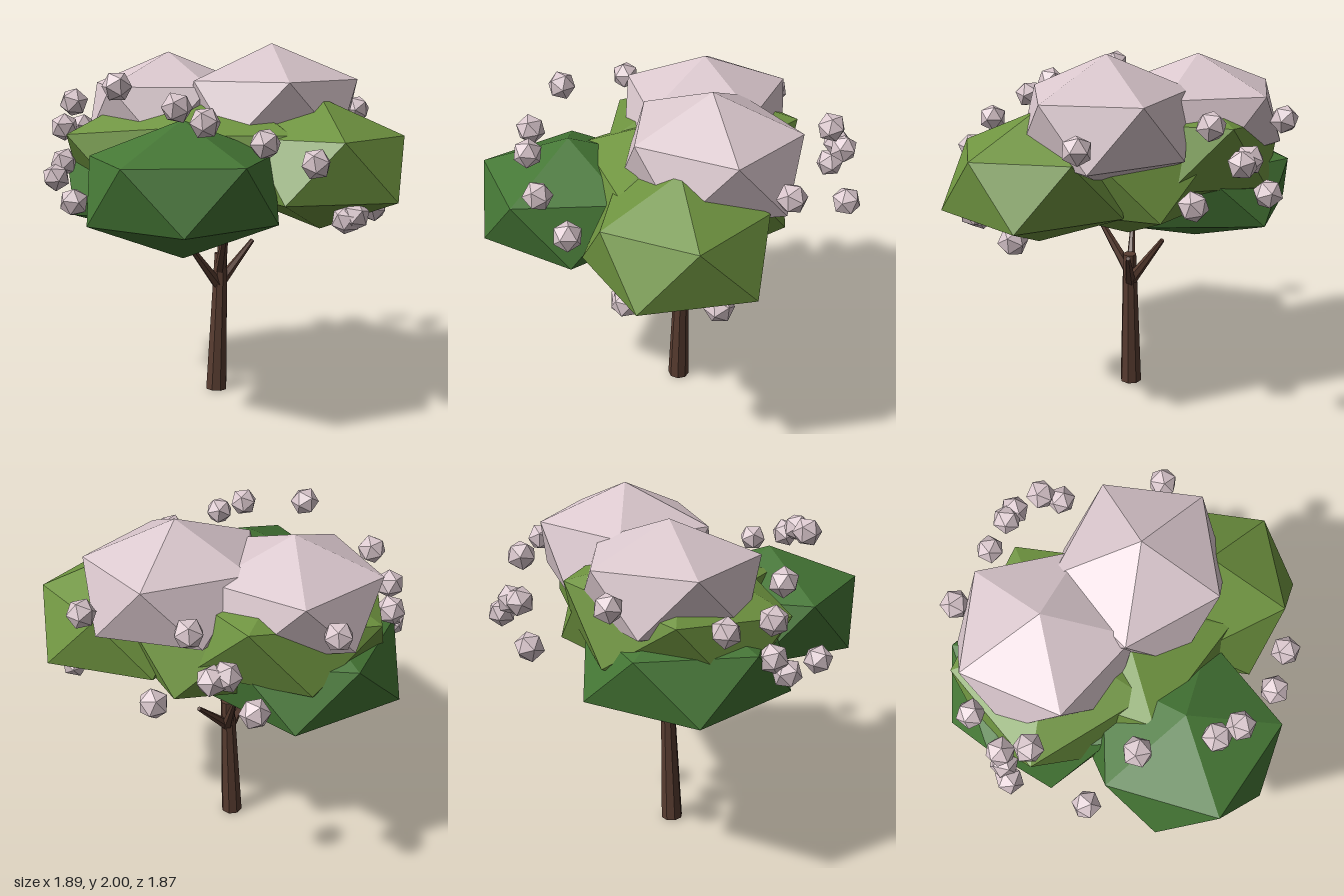
import * as THREE from 'three';

const mat = (name, color) => {
  const m = new THREE.MeshStandardMaterial({ color, flatShading: true });
  m.name = name;
  return m;
};

export function createModel() {
  const bark = mat('bark brown', 0x583c30);
  const darkLeaf = mat('deep green', 0x457735);
  const lightLeaf = mat('light green', 0x6f9440);
  const blossom = mat('pale pink', 0xdac7cd);

  const tree = new THREE.Group();
  tree.name = 'tree';
  const add = (name, geo, material, parent = tree) => {
    const mesh = new THREE.Mesh(geo, material);
    mesh.name = name;
    parent.add(mesh);
    return mesh;
  };

  // Tapered limb between two points
  const limb = (name, a, b, r0, r1, sides) => {
    const start = new THREE.Vector3(...a), end = new THREE.Vector3(...b);
    const dir = end.clone().sub(start);
    const mesh = add(name, new THREE.CylinderGeometry(r1, r0, dir.length(), sides), bark);
    mesh.position.copy(start).add(end).multiplyScalar(0.5);
    mesh.quaternion.setFromUnitVectors(new THREE.Vector3(0, 1, 0), dir.normalize());
  };

  // Trunk and branches
  limb('trunk', [-0.02, 0.005, -0.035], [0.01, 0.81, -0.035], 0.063, 0.039, 8);
  [
    [[0.0, 0.72, -0.02], [-0.04, 1.02, 0.18]],
    [[-0.01, 0.63, -0.03], [-0.225, 0.91, 0.015]],
    [[0.01, 0.64, -0.04], [0.23, 0.86, -0.09]],
    [[0.02, 0.66, -0.05], [0.095, 0.94, -0.25]],
  ].forEach(([a, b]) => limb('branch', a, b, 0.033, 0.013, 6));

  // Icosahedron standing on one corner
  const upright = new THREE.IcosahedronGeometry(1, 0)
    .rotateX(-Math.atan2((1 + Math.sqrt(5)) / 2, 1));

  // Squashed clump: centre, upper and lower ring radius, half height,
  // angle of an upper ring corner, stretch along x and z, sideways tilt
  const clump = (name, material, centre, upper, lower, half, angle, stretch = [1, 1], tilt = 0) => {
    const geo = upright.clone().rotateY(THREE.MathUtils.degToRad(90 - angle));
    const pos = geo.attributes.position;
    for (let i = 0; i < pos.count; i++) {
      const r = (pos.getY(i) > 0 ? upper : lower) / 0.894;
      pos.setXYZ(i, pos.getX(i) * r * stretch[0], pos.getY(i) * half, pos.getZ(i) * r * stretch[1]);
    }
    geo.rotateZ(tilt).computeVertexNormals();
    add(name, geo, material).position.set(...centre);
  };
  clump('frontRightFoliage', darkLeaf, [-0.39, 1.265, 0.435], 0.51, 0.508, 0.36, 73);
  clump('backFoliage', darkLeaf, [-0.265, 1.215, -0.355], 0.525, 0.57, 0.345, 270);
  clump('frontLeftFoliage', lightLeaf, [0.445, 1.35, 0.35], 0.45, 0.515, 0.36, 29);
  clump('middleFoliage', lightLeaf, [0.03, 1.35, -0.03], 0.585, 0.58, 0.405, 75);
  clump('backRightFoliage', lightLeaf, [-0.18, 1.41, -0.31], 0.56, 0.53, 0.38, -42, [1.13, 0.95], 0.12);
  clump('backBlossomCrown', blossom, [-0.185, 1.615, -0.37], 0.47, 0.47, 0.335, 8);
  clump('frontBlossomCrown', blossom, [0.3, 1.64, 0.01], 0.465, 0.48, 0.36, 29, [1.06, 0.96]);

  // Small blossoms scattered around the crown
  const blossoms = new THREE.Group();
  blossoms.name = 'blossoms';
  tree.add(blossoms);
  const bud = new THREE.IcosahedronGeometry(0.081, 0);
  [
    [-0.68, 1.79, 0.26], [-0.775, 1.68, -0.265], [-0.48, 1.7, 0.61],
    [-0.37, 1.63, 0.71], [-0.795, 1.53, -0.42], [-0.865, 1.17, 0.04],
    [-0.105, 1.53, 0.835], [0.165, 1.42, 0.85], [0.46, 1.12, 0.72],
    [0.42, 1.1, 0.7], [0.765, 1.09, 0.37], [0.86, 1.615, -0.015],
    [-0.125, 1.62, -0.87], [0.35, 1.33, -0.87], [0.46, 1.53, -0.785],
    [0.53, 1.52, -0.765], [0.565, 1.71, -0.61], [0.745, 1.35, -0.57],
    [-0.64, 1.51, -0.63], [-0.86, 1.25, -0.38], [-0.8, 1.33, -0.42],
    [-0.52, 1.03, -0.43],
  ].forEach((p, i) => {
    const mesh = add('blossom', bud, blossom, blossoms);
    mesh.position.set(...p);
    mesh.rotation.set(i * 1.3, i * 2.1, i * 0.7);
  });

  return tree;
}
